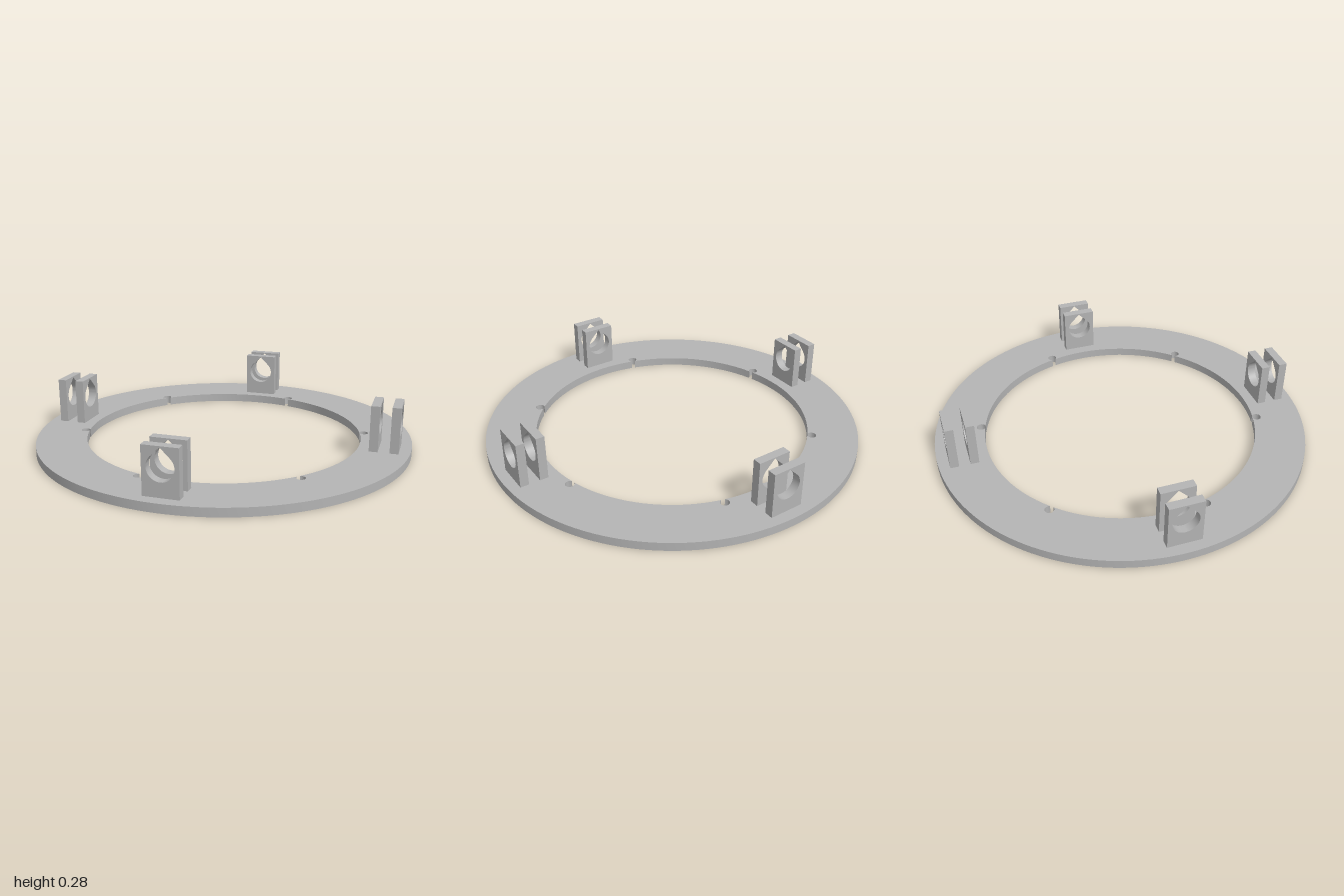
import * as THREE from 'three';
import { toCreasedNormals } from 'three/addons/utils/BufferGeometryUtils.js';

const OUTER = 1, INNER = 0.735, THICK = 0.045;
const NOTCH_R = 0.024, NOTCH_AT = 0.757;
const TAB_W = 0.177, TAB_T = 0.045, TAB_H = 0.24;
const HOLE_R = 0.067, HOLE_Y = 0.14;

// Points along an arc, both ends included
function arc(cx, cy, r, from, to, steps) {
  return Array.from({ length: steps + 1 }, (_, i) => {
    const a = from + (to - from) * i / steps;
    return new THREE.Vector2(cx + r * Math.cos(a), cy + r * Math.sin(a));
  });
}

function extrude(shape, depth) {
  const geo = new THREE.ExtrudeGeometry(shape, { depth, bevelEnabled: false });
  return toCreasedNormals(geo, 0.5);
}

// Flat ring whose inner edge opens into six round notches
function ringGeometry() {
  const phi = Math.acos((INNER ** 2 + NOTCH_AT ** 2 - NOTCH_R ** 2) / (2 * INNER * NOTCH_AT));
  const mouth = Math.PI - Math.asin(INNER * Math.sin(phi) / NOTCH_R);
  const edge = [];
  for (let k = 0; k < 6; k++) {
    const a = Math.PI / 6 + k * Math.PI / 3;
    const cx = NOTCH_AT * Math.cos(a), cy = NOTCH_AT * Math.sin(a);
    edge.push(...arc(cx, cy, NOTCH_R, a - mouth, a + mouth, 20));
    edge.push(...arc(0, 0, INNER, a + phi, a + Math.PI / 3 - phi, 20).slice(1, -1));
  }
  const shape = new THREE.Shape(arc(0, 0, OUTER, 0, Math.PI * 2, 144).slice(0, -1));
  shape.holes.push(new THREE.Path(edge));
  return extrude(shape, THICK).rotateX(-Math.PI / 2);
}

// Upright plate with a teardrop hole
function tabGeometry() {
  const w = TAB_W / 2;
  const shape = new THREE.Shape([[-w, 0], [w, 0], [w, TAB_H], [-w, TAB_H]]
    .map(([x, y]) => new THREE.Vector2(x, y)));
  const drop = arc(0, HOLE_Y, HOLE_R, Math.PI * 0.75, Math.PI * 2.25, 36);
  drop.push(new THREE.Vector2(0, HOLE_Y + HOLE_R * Math.SQRT2));
  shape.holes.push(new THREE.Path(drop));
  return extrude(shape, TAB_T).translate(0, 0, -TAB_T / 2);
}

export function createModel() {
  const model = new THREE.Group();
  model.name = 'mountingRing';
  const grey = new THREE.MeshStandardMaterial({ color: 0xb4b4b4 });
  grey.name = 'grey';

  const ring = new THREE.Mesh(ringGeometry(), grey);
  ring.name = 'baseRing';
  model.add(ring);

  // Four pairs of tabs on the diagonals
  const tabGeo = tabGeometry();
  for (let k = 0; k < 4; k++) {
    const bracket = new THREE.Group();
    bracket.name = `bracket${k + 1}`;
    bracket.rotation.y = Math.PI / 4 + k * Math.PI / 2;
    for (const [name, radius] of [['innerTab', 0.815], ['outerTab', 0.919]]) {
      const tab = new THREE.Mesh(tabGeo, grey);
      tab.name = name;
      tab.position.set(0, THICK, radius);
      bracket.add(tab);
    }
    model.add(bracket);
  }
  return model;
}
